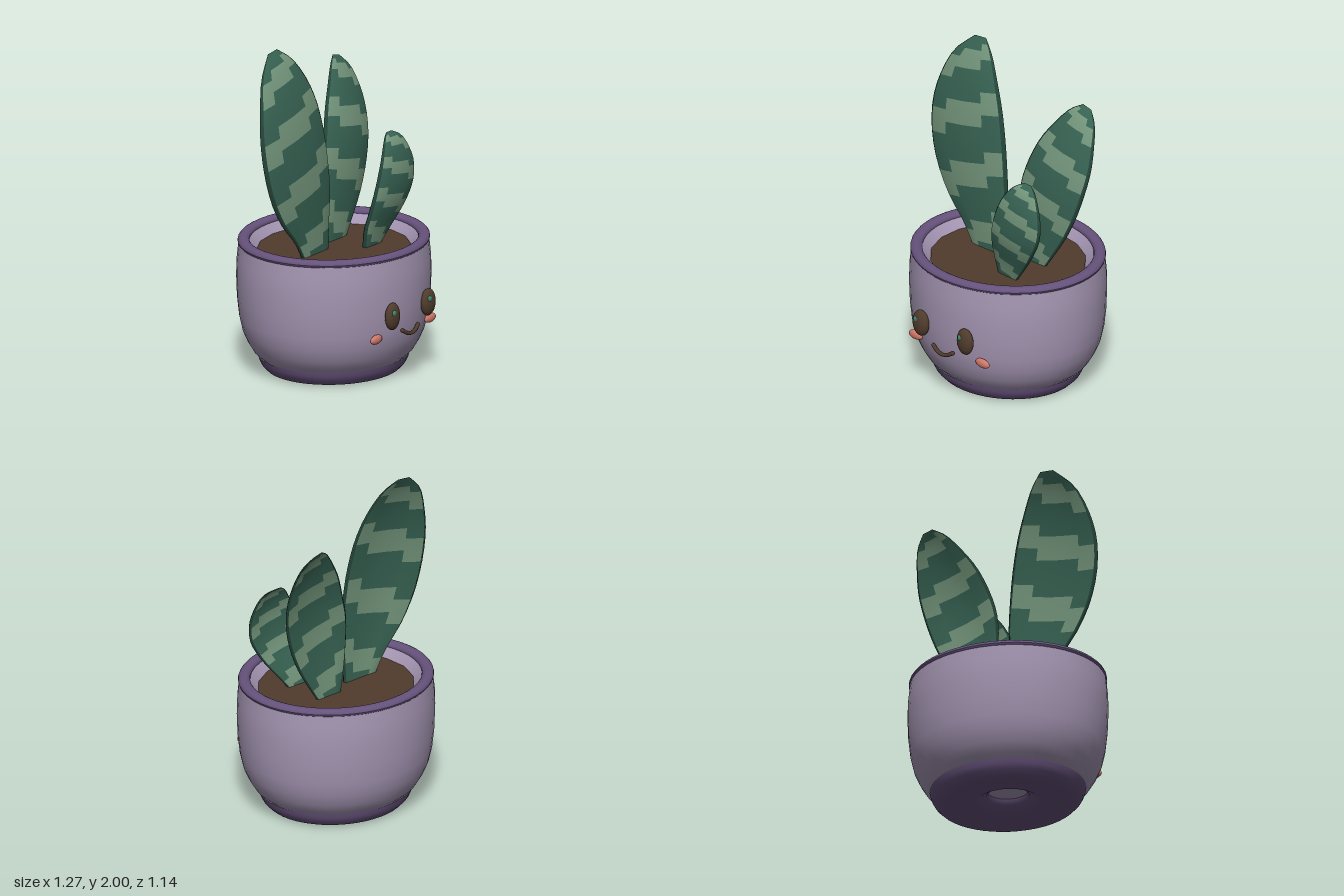
import * as THREE from 'three';

const mat = (name, color) => Object.assign(new THREE.MeshStandardMaterial({ color }), { name });

// Leaf rows from base to tip: [leftX, leftY, rightX, rightY, z]
const LEAVES = [
  { name: 'tallLeaf', high: 1, bow: 0.035, rows: [
    [-.25, .70, -.02, .72, -.03], [-.34, .84, -.005, .90, -.02], [-.47, .98, .013, 1.10, -.012],
    [-.57, 1.15, .0, 1.29, -.01], [-.625, 1.34, -.025, 1.47, -.018], [-.635, 1.53, -.07, 1.65, -.04],
    [-.60, 1.70, -.135, 1.80, -.075], [-.525, 1.87, -.22, 1.93, -.13], [-.40, 1.99, -.31, 2.0, -.185]] },
  { name: 'middleLeaf', high: -1, bow: 0.035, rows: [
    [.08, .72, .24, .70, -.10], [.05, .90, .33, .83, -.09], [.035, 1.08, .42, .97, -.083],
    [.045, 1.22, .49, 1.12, -.085], [.09, 1.37, .54, 1.28, -.10], [.15, 1.51, .562, 1.43, -.135],
    [.23, 1.63, .55, 1.57, -.18], [.32, 1.735, .515, 1.69, -.235], [.39, 1.775, .455, 1.76, -.28]] },
  { name: 'smallLeaf', high: -1, bow: 0.025, rows: [
    [.115, .72, .24, .70, .14], [.095, .85, .32, .80, .17], [.10, .95, .40, .90, .205],
    [.115, 1.05, .46, .99, .23], [.145, 1.15, .505, 1.08, .238], [.18, 1.235, .515, 1.18, .233],
    [.22, 1.305, .49, 1.27, .215], [.27, 1.36, .44, 1.355, .185], [.325, 1.39, .38, 1.39, .15]] },
];

// Closed leaf: rings across the blade, with stepped stripes picked per face
function leafGeometry({ rows, high, bow }) {
  const left = new THREE.CatmullRomCurve3(rows.map(r => new THREE.Vector3(r[0], r[1], r[4])));
  const right = new THREE.CatmullRomCurve3(rows.map(r => new THREE.Vector3(r[2], r[3], r[4])));
  const ring = [0, .035, .25, .5, .75, .965, 1, .965, .75, .5, .25, .035];
  const n = ring.length, N = 20, pos = [], faces = [[], [], []];
  const p = new THREE.Vector3();
  for (let i = 0; i <= N; i++) {
    const v = i / N, a = left.getPoint(v), b = right.getPoint(v);
    const thick = 0.014 * Math.sqrt(1 - v * v);
    ring.forEach((u, j) => {
      const side = u === 0 || u === 1 ? 0 : j < 6 ? 1 : -1;
      p.lerpVectors(a, b, u);
      p.z += side * thick - bow * (2 * u - 1) ** 2 * Math.sin(Math.PI * v);
      pos.push(p.x, p.y, p.z);
    });
  }
  for (let i = 0; i < N; i++) for (let j = 0; j < n; j++) {
    const k = (j + 1) % n, u = (ring[j] + ring[k]) / 2;
    const shift = u < .25 ? -high : u > .75 ? high : 0;
    const rim = u < .03 || u > .97;
    const stripe = (i - shift + 4) % 5 < 2;
    const a = i * n + j, b = i * n + k;
    faces[rim ? 2 : stripe ? 1 : 0].push(a, b, b + n, a, b + n, a + n);
  }
  const g = new THREE.BufferGeometry();
  g.setAttribute('position', new THREE.Float32BufferAttribute(pos, 3));
  g.setIndex(faces.flat());
  let start = 0;
  faces.forEach((f, m) => { g.addGroup(start, f.length, m); start += f.length; });
  g.computeVertexNormals();
  return g;
}

export function createModel() {
  const model = new THREE.Group();
  model.name = 'pottedPlant';
  const lavender = mat('lavender', 0xa495b2), purple = mat('purple', 0x66527c);
  const brown = mat('brown', 0x503c2d), blush = mat('blush', 0xd0786a);
  const green = mat('leafGreen', 0x386454), pale = mat('paleGreen', 0x75977d);
  const edge = mat('edgeGreen', 0x274a3e), glint = mat('glintGreen', 0x3f8a6c);

  const add = (parent, name, geo, material, x = 0, y = 0, z = 0) => {
    const m = new THREE.Mesh(geo, material);
    m.name = name;
    m.position.set(x, y, z);
    parent.add(m);
    return m;
  };
  const lathe = pts => new THREE.LatheGeometry(pts.map(q => new THREE.Vector2(...q)), 48);

  // Slightly oval pot
  const pot = new THREE.Group();
  pot.name = 'pot';
  pot.position.set(0.031, 0, -0.017);
  pot.scale.z = 0.92;
  model.add(pot);
  add(pot, 'potWall', lathe([[.46, .09], [.50, .125], [.535, .18], [.567, .25], [.587, .335], [.60, .45],
    [.605, .58], [.602, .68], [.59, .79]]), lavender);
  add(pot, 'innerWall', lathe([[.54, .79], [.525, .785], [.46, .715]]), lavender);
  add(pot, 'potFloor', new THREE.CircleGeometry(.47, 48).rotateX(Math.PI / 2), lavender, 0, .09, 0);
  // Base ring with a drain hole
  add(pot, 'baseRing', lathe([[.12, .095], [.13, .055], [.19, .02], [.28, .002], [.37, 0], [.42, .01],
    [.45, .04], [.465, .07], [.472, .097]]), purple);
  // Rounded rim
  const rim = [];
  for (let i = 0; i <= 16; i++) {
    const t = i / 16 * Math.PI * 2;
    rim.push([.56 + .037 * Math.cos(t), .79 + .026 * Math.sin(t)]);
  }
  add(pot, 'rim', lathe(rim), purple);
  add(pot, 'soil', new THREE.CircleGeometry(.478, 18).rotateX(-Math.PI / 2).rotateY(Math.PI / 2), brown, 0, .735, 0);

  // Face
  const face = new THREE.Group();
  face.name = 'face';
  face.position.x = 0.031;
  model.add(face);
  const ball = new THREE.SphereGeometry(1, 24, 16);
  for (const s of [-1, 1]) {
    const side = s > 0 ? 'left' : 'right';
    add(face, side + 'Eye', ball, brown, s * .18, .447, .533).scale.set(.06, .083, .035);
    add(face, side + 'EyeGlint', ball, glint, s * .18 - .019, .475, .559).scale.set(.018, .018, .01);
    add(face, side + 'Cheek', ball, blush, s * .272, .318, .481).scale.set(.054, .028, .02);
  }
  const smile = new THREE.CatmullRomCurve3([[-.078, .335, .533], [-.04, .313, .54], [0, .305, .543],
    [.04, .313, .54], [.078, .335, .533]].map(q => new THREE.Vector3(...q)));
  add(face, 'mouth', new THREE.TubeGeometry(smile, 16, .012, 8), brown);
  for (const s of [-1, 1]) add(face, 'mouthEnd', ball, brown, s * .078, .335, .533).scale.setScalar(.012);

  // Striped leaves
  for (const leaf of LEAVES) add(model, leaf.name, leafGeometry(leaf), [green, pale, edge]);
  return model;
}
